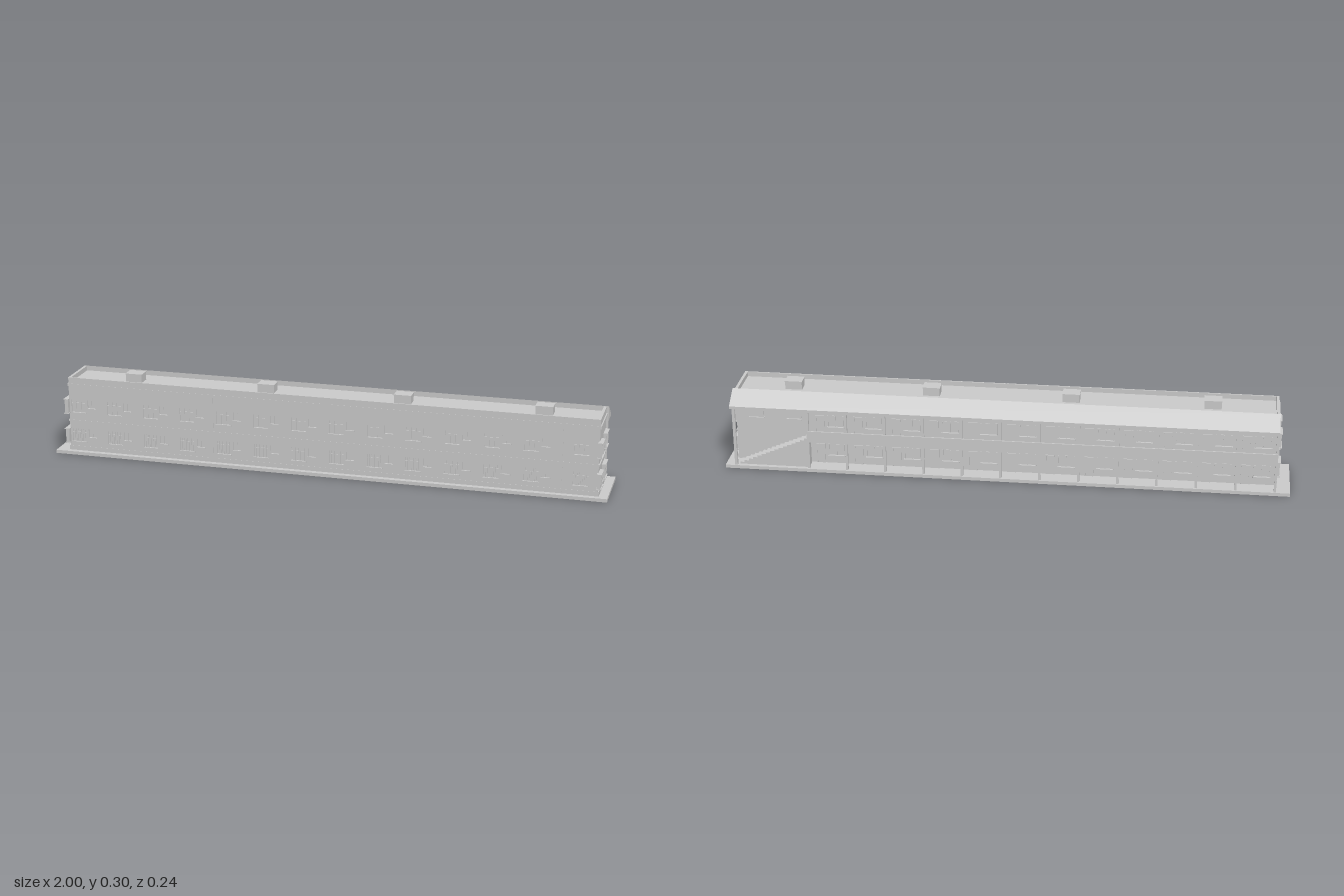
import * as THREE from 'three';

const X0 = -0.95, X1 = 0.965, BACK = -0.055, PITCH = 0.1375;

export function createModel() {
  const root = new THREE.Group();
  root.name = 'galleryBuilding';
  const grey = new THREE.MeshStandardMaterial({ color: 0xcccccc });
  grey.name = 'lightGrey';

  function add(name, geo, parent = root) {
    const m = new THREE.Mesh(geo, grey);
    m.name = name;
    parent.add(m);
    return m;
  }
  // Box given by its minimum and maximum on each axis
  function box(name, x0, x1, y0, y1, z0, z1, parent = root) {
    const g = new THREE.BoxGeometry(x1 - x0, y1 - y0, z1 - z0);
    g.translate((x0 + x1) / 2, (y0 + y1) / 2, (z0 + z1) / 2);
    return add(name, g, parent);
  }
  // Profile of [z, y] points swept along x
  function sweep(name, pts, x0, x1) {
    const s = new THREE.Shape(pts.map(p => new THREE.Vector2(p[0], p[1])));
    const g = new THREE.ExtrudeGeometry(s, { depth: x1 - x0, bevelEnabled: false });
    g.rotateY(-Math.PI / 2);
    g.translate(x1, 0, 0);
    return add(name, g);
  }

  // Ground slab, building core and plinth
  box('groundSlab', -1, 1, 0, 0.012, -0.115, 0.12);
  box('core', X0, X1, 0.012, 0.268, BACK, 0.095);

  // Front wall openings: a wide and a small window per bay on both floors
  const openings = [];
  for (let i = 0; i < 14; i++) {
    const x = i === 13 ? 0.905 : -0.915 + i * PITCH;
    for (const up of [0, 1]) {
      const y = up ? 0.155 : 0.045;
      openings.push({ x0: x - 0.026, x1: x + 0.026, y0: y, y1: y + 0.048, up, big: true });
      if (i < 13) openings.push({ x0: x + 0.036, x1: x + 0.064, y0: y + 0.018, y1: y + 0.048, up });
    }
  }
  const wall = new THREE.Shape();
  wall.moveTo(X0, 0.012).lineTo(X1, 0.012).lineTo(X1, 0.285).lineTo(X0, 0.285).closePath();
  for (const o of openings) {
    const h = new THREE.Path();
    h.moveTo(o.x0, o.y0).lineTo(o.x0, o.y1).lineTo(o.x1, o.y1).lineTo(o.x1, o.y0).closePath();
    wall.holes.push(h);
  }
  const wallGeo = new THREE.ExtrudeGeometry(wall, { depth: 0.005, bevelEnabled: false });
  wallGeo.translate(0, 0, 0.095);
  add('frontWall', wallGeo);

  // Front window mullions, grilles and sills
  const front = new THREE.Group();
  front.name = 'frontWindows';
  root.add(front);
  for (const o of openings) {
    const n = !o.big ? 1 : o.up ? 2 : 7;
    for (let k = 1; k <= n; k++) {
      const x = o.x0 + (o.x1 - o.x0) * k / (n + 1);
      box(o.up ? 'mullion' : 'grilleBar', x - 0.0008, x + 0.0008, o.y0, o.y1, 0.094, 0.098, front);
    }
    if (o.big) box('transom', o.x0, o.x1, o.y1 - 0.014, o.y1 - 0.0125, 0.094, 0.0975, front);
    box('sill', o.x0 - 0.003, o.x1 + 0.003, o.y0 - 0.003, o.y0, 0.095, 0.102, front);
  }

  // Vertical joints on the front
  for (const x of [-0.405, 0.01, 0.84])
    box('frontJoint', x - 0.0015, x + 0.0015, 0.012, 0.285, 0.099, 0.1012);

  // Plinth, floor band and cornice wrapped round the front and ends
  for (const [name, y0, y1] of [['plinth', 0.012, 0.028], ['floorBand', 0.12, 0.126], ['cornice', 0.252, 0.262]]) {
    box(name, X0, X1, y0, y1, 0.098, 0.101);
    box(name, X0 - 0.004, X0 + 0.002, y0, y1, BACK, 0.101);
    box(name, X1 - 0.002, X1 + 0.004, y0, y1, BACK, 0.101);
  }

  // Roof parapets at the ends and roof vents
  box('endParapet', X0, X0 + 0.01, 0.262, 0.285, BACK, 0.097);
  box('endParapet', X1 - 0.01, X1, 0.262, 0.285, BACK, 0.097);
  for (const x of [-0.72, -0.225, 0.27, 0.765]) {
    box('roofVent', x - 0.03, x + 0.03, 0.268, 0.296, -0.002, 0.044);
    box('ventCap', x - 0.031, x + 0.031, 0.296, 0.299, -0.003, 0.045);
  }

  // End windows with hood, sill and frame; the lower ones have grilles
  for (const [side, xw] of [[-1, X0], [1, X1]]) {
    const g = new THREE.Group();
    g.name = 'endWindows';
    root.add(g);
    const part = (name, a, b, y0, y1, z0, z1) =>
      box(name, xw + (side > 0 ? a : -b), xw + (side > 0 ? b : -a), y0, y1, z0, z1, g);
    for (const zc of [0.09, -0.021]) for (const up of [0, 1]) {
      const y0 = up ? 0.155 : 0.044, y1 = y0 + 0.05, z0 = zc - 0.026, z1 = zc + 0.026;
      part('hood', -0.004, 0.014, y1, y1 + 0.003, z0 - 0.004, z1 + 0.004);
      part('sill', -0.004, 0.014, y0 - 0.003, y0, z0 - 0.003, z1 + 0.003);
      part('pane', -0.002, 0.006, y0, y1, z0, z1);
      part('frameSide', 0, 0.011, y0, y1, z0, z0 + 0.003);
      part('frameSide', 0, 0.011, y0, y1, z1 - 0.003, z1);
      if (!up) for (let k = 1; k < 8; k++) {
        const z = z0 + (z1 - z0) * k / 8;
        part('grilleBar', 0.005, 0.01, y0, y1, z - 0.0008, z + 0.0008);
      }
    }
  }

  // Lean-to roof over the rear gallery
  sweep('galleryRoof', [[BACK, 0.286], [BACK, 0.233], [-0.119, 0.233], [-0.119, 0.243]], X0 - 0.002, X1 + 0.008);

  // Gallery floor, balustrade wall and columns
  const hall = 0.697;
  box('galleryFloor', X0, hall, 0.115, 0.123, -0.111, BACK);
  box('balustrade', X0, hall, 0.115, 0.158, -0.114, -0.109);
  for (let i = 0; i <= 12; i++) {
    const x = hall - i * 0.137;
    box('column', x - 0.004, x + 0.004, 0.012, 0.235, -0.11, -0.1);
    box('galleryBeam', x - 0.003, x + 0.003, 0.106, 0.115, -0.105, BACK);
    box('galleryBeam', x - 0.003, x + 0.003, 0.225, 0.234, -0.105, BACK);
  }
  box('column', X1 - 0.008, X1 + 0.002, 0.012, 0.235, -0.11, -0.1);

  // Rear doors and windows on both floors
  const rear = new THREE.Group();
  rear.name = 'rearOpenings';
  root.add(rear);
  for (let i = 0; i < 12; i++) {
    const x = hall - 0.0685 - i * 0.137;
    for (const y of [0.012, 0.123]) {
      const d = x + 0.035;
      box('doorLeaf', d - 0.012, d + 0.012, y, y + 0.07, BACK - 0.002, BACK, rear);
      for (const s of [-1, 1])
        box('doorJamb', d + s * 0.014 - 0.002, d + s * 0.014 + 0.002, y, y + 0.074, BACK - 0.004, BACK, rear);
      box('doorHead', d - 0.016, d + 0.016, y + 0.07, y + 0.074, BACK - 0.004, BACK, rear);
      const w = x - 0.022;
      box('rearPane', w - 0.028, w + 0.028, y + 0.032, y + 0.074, BACK - 0.001, BACK, rear);
      for (let k = -1; k <= 1; k++)
        box('rearMullion', w + k * 0.028 - 0.0015, w + k * 0.028 + 0.0015, y + 0.032, y + 0.074, BACK - 0.004, BACK, rear);
      box('rearSill', w - 0.031, w + 0.031, y + 0.028, y + 0.032, BACK - 0.009, BACK, rear);
    }
  }
  // Windows above the stair
  for (const x of [0.89, 0.755]) {
    box('stairWindow', x - 0.025, x + 0.025, 0.18, 0.21, BACK - 0.003, BACK, rear);
    box('stairWindowSill', x - 0.028, x + 0.028, 0.176, 0.18, BACK - 0.008, BACK, rear);
  }

  // Straight stair rising along the rear wall to the gallery
  const steps = 16, run = (0.95 - hall) / steps, rise = (0.123 - 0.012) / steps;
  const stair = new THREE.Shape();
  stair.moveTo(hall, 0.012).lineTo(0.95, 0.012);
  for (let k = 0; k < steps; k++) {
    stair.lineTo(0.95 - k * run, 0.012 + (k + 1) * rise);
    stair.lineTo(0.95 - (k + 1) * run, 0.012 + (k + 1) * rise);
  }
  stair.closePath();
  const stairGeo = new THREE.ExtrudeGeometry(stair, { depth: 0.036, bevelEnabled: false });
  stairGeo.translate(0, 0, -0.1);
  add('stair', stairGeo);

  return root;
}
